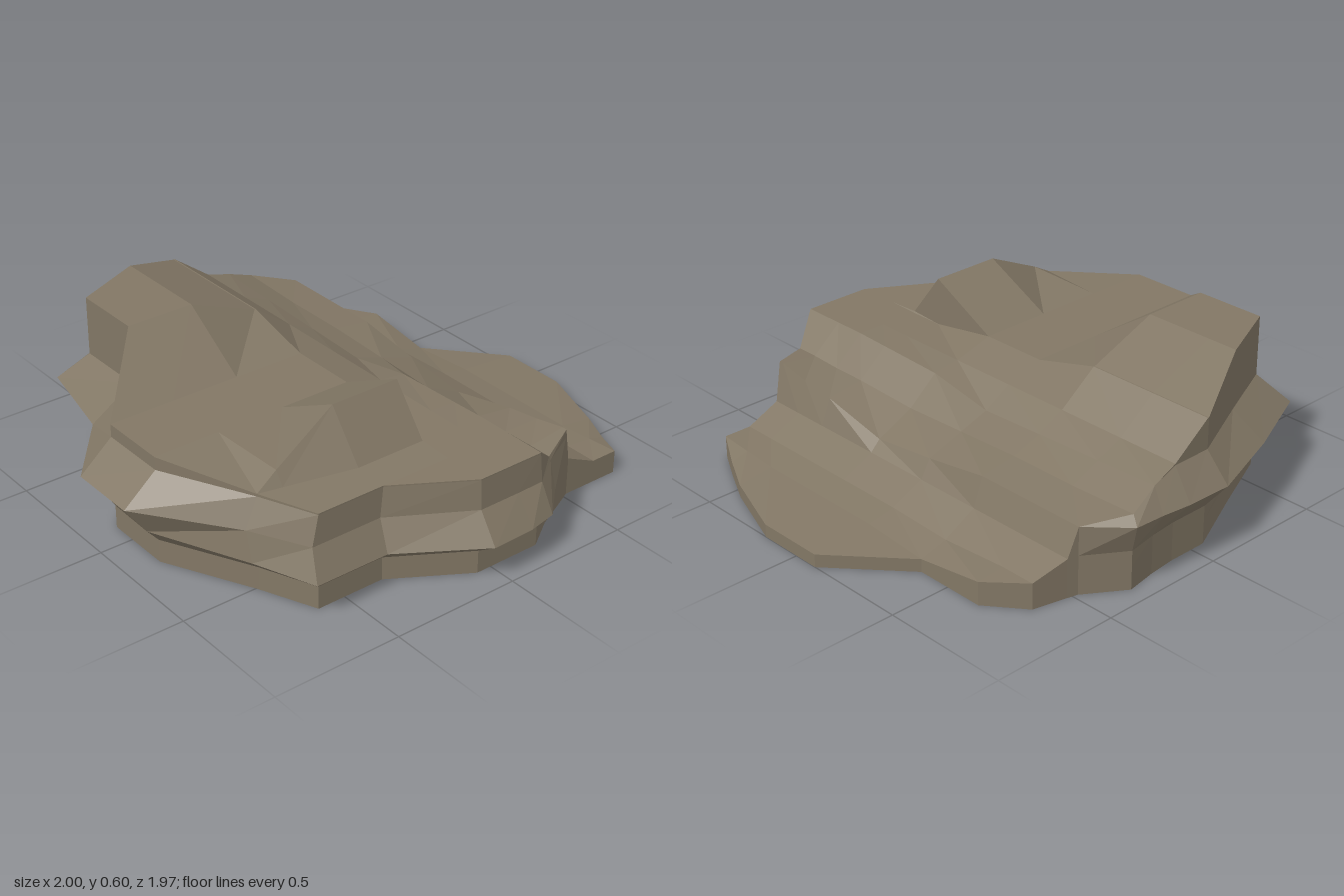
import * as THREE from 'three';

const clamp = THREE.MathUtils.clamp;

// Column lines in x, with how far back and forward each one reaches
const COLS = [-0.87, -0.61, -0.34, -0.06, -0.055, 0.1, 0.21, 0.33, 0.48, 0.52, 0.65, 0.76, 1];
const BACK = [-0.65, -0.65, -0.77, -0.9, -0.9, -0.9, -0.91, -0.93, -0.83, -0.82, -0.79, -0.65, -0.65];
const FRONT = [0.72, 0.72, 0.72, 0.89, 0.89, 0.89, 0.89, 0.81, 0.74, 0.72, 0.72, 0.72, 0.72];

// Cross-sections from back to front: depth, left and right limit, heights per column
const ROWS = [
  { z: -0.95, l: -0.61, r: 0.76, h: [0.6, 0.6, 0.6, 0.49, 0.49, 0.375, 0.34, 0.29, 0.26, 0.15, 0.1, 0.09, 0.09] },
  { z: -0.65, l: -0.61, r: 0.76, h: [0.6, 0.6, 0.6, 0.49, 0.49, 0.375, 0.33, 0.28, 0.26, 0.15, 0.1, 0.09, 0.09] },
  { z: -0.37, l: -0.61, r: 0.76, h: [0.6, 0.6, 0.6, 0.49, 0.49, 0.375, 0.32, 0.28, 0.26, 0.15, 0.08, 0.05, 0.05] },
  { z: -0.1, l: -0.87, r: 1, h: [0.42, 0.42, 0.42, 0.42, 0.42, 0.375, 0.31, 0.27, 0.22, 0.15, 0.09, 0.07, 0.05] },
  { z: 0.17, l: -0.87, r: 1, h: [0.42, 0.42, 0.42, 0.42, 0.42, 0.375, 0.36, 0.26, 0.19, 0.15, 0.09, 0.07, 0.05] },
  { z: 0.45, l: -0.7, r: 0.9, h: [0.38, 0.43, 0.56, 0.56, 0.375, 0.375, 0.37, 0.27, 0.25, 0.15, 0.09, 0.07, 0.05] },
  { z: 0.59, l: -0.7, r: 0.83, h: [0.38, 0.38, 0.38, 0.38, 0.375, 0.375, 0.375, 0.27, 0.27, 0.15, 0.09, 0.08, 0.06] },
  { z: 0.72, l: -0.61, r: 0.76, h: [0.375, 0.375, 0.375, 0.375, 0.375, 0.375, 0.375, 0.275, 0.295, 0.15, 0.09, 0.09, 0.09] },
  { z: 0.9, l: -0.61, r: 0.76, h: [0.375, 0.375, 0.375, 0.375, 0.375, 0.375, 0.375, 0.275, 0.295, 0.15, 0.09, 0.09, 0.09] },
];

// The knob's crest and foot (z 0.45 and 0.59) meet in a point at its left end
const KNOB_TIP = 0.51;
function rowDepth(z, i) {
  const onKnob = z > 0.4 && z < 0.6;
  return onKnob ? KNOB_TIP + (z - KNOB_TIP) * clamp((COLS[i] + 0.7) / 0.36, 0, 1) : z;
}

// Flat-shaded geometry from triangles, skipping collapsed ones
function facets(triangles) {
  const points = triangles
    .filter(([a, b, c]) => new THREE.Triangle(a, b, c).getArea() > 1e-6)
    .flat();
  const geometry = new THREE.BufferGeometry().setFromPoints(points);
  geometry.computeVertexNormals();
  return geometry;
}

// Side bulges as scales of x and z: the upper one swells left and back, the lower one forward
function upperBulge(p) {
  const notch = p.x < -0.5 ? 0.13 * clamp(1 - Math.abs(p.z + 0.37) / 0.2, 0, 1) : 0;
  const front = clamp((p.z - 0.2) / 0.4, 0, 1);
  const back = p.z < -0.6 ? (p.x < -0.2 ? 1.14 : 1.1) : 1 + 0.01 * front;
  return [1.15 + notch - 0.1 * front, back];
}
function lowerBulge(p) {
  const s = 1 + 0.055 * (p.z + 0.9);
  return [s, s];
}
const straight = () => [1, 1];

// Side layers: shoulder, upper bulge, lower bulge, foot, ground
const LAYERS = [
  { y: 0.37, spread: straight },
  { y: 0.26, spread: upperBulge },
  { y: 0.15, spread: lowerBulge },
  { y: 0.09, spread: straight },
  { y: 0, spread: straight },
];

function layerPoint(p, layer) {
  const [sx, sz] = layer.spread(p);
  const swell = clamp((0.48 - p.x) / 0.4, 0, 1); // the bulge dies out towards the low shelf
  return new THREE.Vector3(
    p.x * (1 + (sx - 1) * swell),
    Math.min(layer.y, p.y),
    p.z * (1 + (sz - 1) * swell),
  );
}

export function createModel() {
  const stone = new THREE.MeshStandardMaterial({ color: 0x827765, side: THREE.DoubleSide });
  stone.name = 'stone';
  const group = new THREE.Group();
  group.name = 'rock';

  // Upper surface: ridge, trough, blunt knob, cliff and low shelf
  const grid = ROWS.map((row) => COLS.map((col, i) => new THREE.Vector3(
    clamp(col, row.l, row.r),
    row.h[i],
    clamp(rowDepth(row.z, i), BACK[i], FRONT[i]),
  )));
  const top = [];
  for (let j = 0; j < grid.length - 1; j++) {
    for (let i = 0; i < COLS.length - 1; i++) {
      const a = grid[j][i], b = grid[j + 1][i], c = grid[j + 1][i + 1], d = grid[j][i + 1];
      top.push([a, b, d], [b, c, d]);
    }
  }

  // Layered sides hanging from the rim, open underneath
  const rim = [
    ...grid[grid.length - 1],
    ...grid.map((row) => row[COLS.length - 1]).reverse(),
    ...[...grid[0]].reverse(),
    ...grid.map((row) => row[0]),
  ].filter((p, i, all) => p.distanceTo(all[(i + 1) % all.length]) > 1e-4);
  const sides = [];
  let upper = rim;
  for (const layer of LAYERS) {
    const lower = rim.map((p) => layerPoint(p, layer));
    for (let i = 0; i < rim.length; i++) {
      const k = (i + 1) % rim.length;
      sides.push([lower[i], lower[k], upper[k]], [lower[i], upper[k], upper[i]]);
    }
    upper = lower;
  }

  for (const [name, triangles] of [['rockTop', top], ['rockSides', sides]]) {
    const mesh = new THREE.Mesh(facets(triangles), stone);
    mesh.name = name;
    group.add(mesh);
  }
  return group;
}
